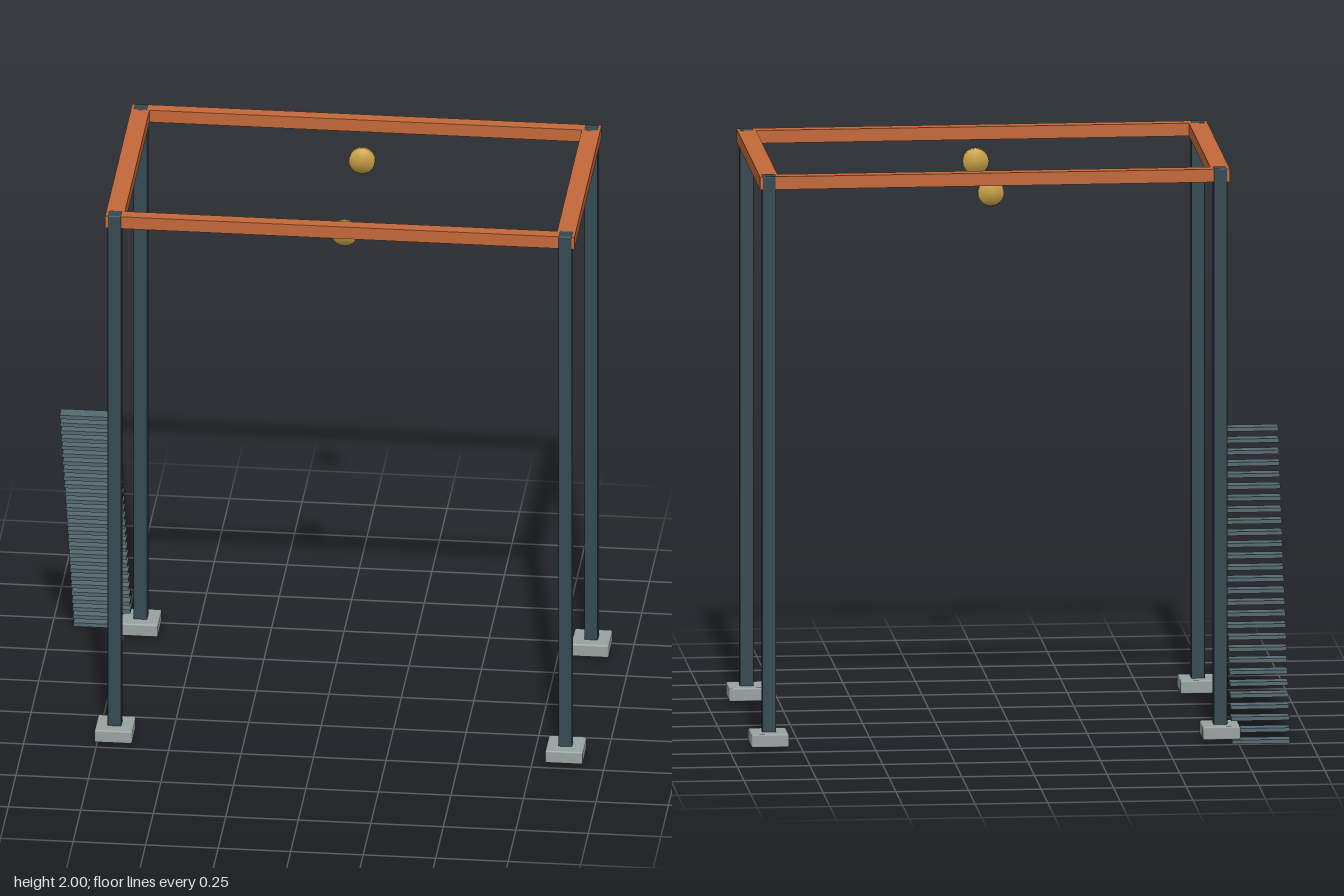
import * as THREE from 'three';
import { RoundedBoxGeometry } from 'three/addons/geometries/RoundedBoxGeometry.js';
import { mergeVertices } from 'three/addons/utils/BufferGeometryUtils.js';

const paint = (name, color) => {
  const m = new THREE.MeshStandardMaterial({ color });
  m.name = name;
  return m;
};

export function createModel() {
  const model = new THREE.Group();
  model.name = 'frameWithStairs';
  const postMat = paint('dark slate', 0x344952);
  const beamMat = paint('rust orange', 0xc4693a);
  const footMat = paint('concrete grey', 0x98a3a0);
  const stairMat = paint('slate grey', 0x566a70);
  const goldMat = paint('brass', 0xc9a245);

  const add = (name, geometry, material, x, y, z, parent = model) => {
    const mesh = new THREE.Mesh(geometry, material);
    mesh.name = name;
    mesh.position.set(x, y, z);
    parent.add(mesh);
    return mesh;
  };

  // The frame is centred on (cx, cz)
  const cx = 0.085, cz = 0.004, hx = 0.777, hz = 0.4235;

  // Chamfered posts standing through footings
  const postGeo = new RoundedBoxGeometry(0.047, 1.987, 0.047, 1, 0.0045);
  const footGeo = new RoundedBoxGeometry(0.13, 0.047, 0.13, 1, 0.006);
  for (const sx of [-1, 1]) {
    for (const sz of [-1, 1]) {
      const x = cx + sx * hx, z = cz + sz * hz;
      add('post', postGeo, postMat, x, 1.0065, z);
      add('footing', footGeo, footMat, x, 0.037, z);
    }
  }

  // Top ring: wide side beams with slimmer long beams between them
  const beamY = 1.976, beamH = 0.045;
  const sideGeo = new THREE.BoxGeometry(0.064, beamH, 0.891);
  const longGeo = new THREE.BoxGeometry(2 * hx - 0.064, beamH, 0.0445);
  for (const s of [-1, 1]) {
    add('sideBeam', sideGeo, beamMat, cx + s * hx, beamY, cz);
    add('longBeam', longGeo, beamMat, cx, beamY, cz + s * hz);
  }

  // Round lamps, softly shaded across the rim
  let lampGeo = new THREE.CylinderGeometry(0.045, 0.045, 0.025, 24).rotateX(Math.PI / 2);
  lampGeo.deleteAttribute('normal');
  lampGeo.deleteAttribute('uv');
  lampGeo = mergeVertices(lampGeo);
  lampGeo.computeVertexNormals();
  for (const s of [-1, 1]) add('lamp', lampGeo, goldMat, cx, 1.901, cz + s * 0.287);

  // Floating stair treads climbing towards the front
  const stairs = new THREE.Group();
  stairs.name = 'stairs';
  model.add(stairs);
  const treadGeo = new THREE.BoxGeometry(0.2, 0.014, 0.052);
  const count = 28;
  for (let i = 0; i < count; i++) {
    const t = i / (count - 1);
    add('tread', treadGeo, stairMat, -0.827, 0.007 + 1.005 * t, -0.4665 + 0.4495 * t, stairs);
  }
  return model;
}
